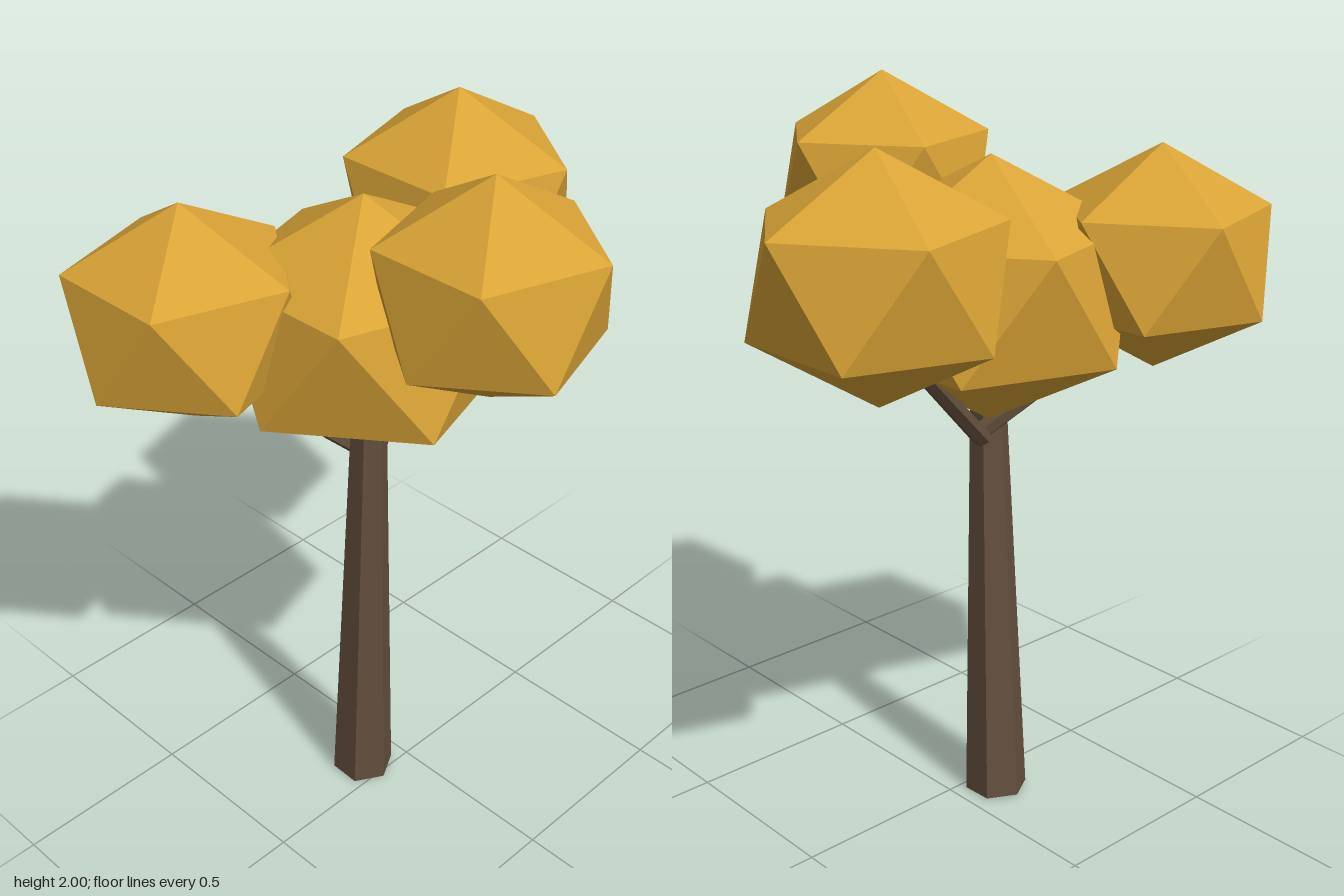
import * as THREE from 'three';

const bark = new THREE.MeshStandardMaterial({ color: 0x644f3e, flatShading: true });
const foliage = new THREE.MeshStandardMaterial({ color: 0xd9a336, flatShading: true });

// Icosahedron standing on one corner, with ring radius r and half height h
function crownGeometry(r, h) {
  const ring = (k, upper) => {
    const a = (k + (upper ? 0 : 0.5)) * Math.PI * 0.4;
    return [r * Math.cos(a), h * (upper ? 0.447 : -0.447), r * Math.sin(a)];
  };
  const pos = [];
  for (let k = 0; k < 5; k++) {
    const u = ring(k, true), u2 = ring(k + 1, true);
    const l = ring(k, false), l2 = ring(k + 1, false);
    pos.push([0, h, 0], u2, u, u, u2, l, l, u2, l2, l, l2, [0, -h, 0]);
  }
  const geo = new THREE.BufferGeometry();
  geo.setAttribute('position', new THREE.Float32BufferAttribute(pos.flat(), 3));
  geo.computeVertexNormals();
  return geo;
}

// Tapered six-sided limb between two points
function limb(name, from, to, r0, r1) {
  const a = new THREE.Vector3(...from), b = new THREE.Vector3(...to);
  const dir = b.clone().sub(a);
  const mesh = new THREE.Mesh(new THREE.CylinderGeometry(r1, r0, dir.length(), 6), bark);
  mesh.name = name;
  mesh.position.copy(a).add(b).multiplyScalar(0.5);
  mesh.quaternion.setFromUnitVectors(new THREE.Vector3(0, 1, 0), dir.normalize());
  return mesh;
}

export function createModel() {
  const tree = new THREE.Group();
  tree.name = 'tree';

  // Leaning trunk and its two branches
  tree.add(
    limb('trunk', [-0.118, 0.004, -0.068], [-0.118, 1.25, -0.018], 0.088, 0.047),
    limb('leftBranch', [-0.055, 1.085, -0.065], [0.36, 1.46, -0.205], 0.026, 0.02),
    limb('rightBranch', [-0.07, 1.1, -0.05], [-0.36, 1.37, -0.27], 0.026, 0.02)
  );

  // Foliage clumps: name, centre, ring radius, half height
  const clumps = [
    ['centreFoliage', [-0.07, 1.485, -0.075], 0.36, 0.347],
    ['frontFoliage', [-0.05, 1.715, 0.32], 0.28, 0.285],
    ['leftFoliage', [0.415, 1.617, -0.215], 0.305, 0.303],
    ['rightFoliage', [-0.43, 1.557, -0.32], 0.29, 0.293],
  ];
  for (const [name, centre, r, h] of clumps) {
    const mesh = new THREE.Mesh(crownGeometry(r, h), foliage);
    mesh.name = name;
    mesh.position.set(...centre);
    tree.add(mesh);
  }
  return tree;
}
